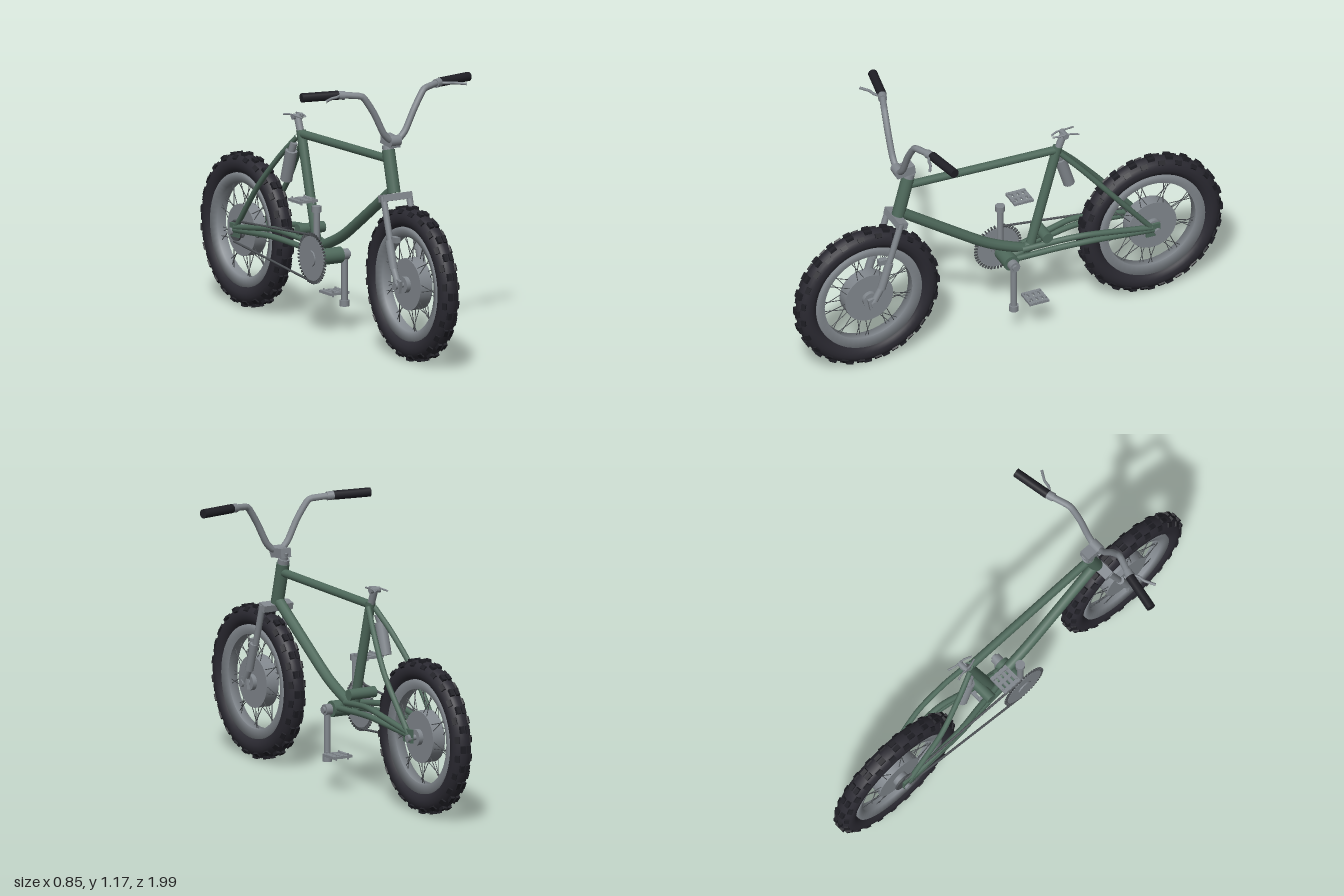
import * as THREE from 'three';
import { mergeGeometries } from 'three/addons/utils/BufferGeometryUtils.js';

const V = (x, y, z) => new THREE.Vector3(x, y, z);
const mat = (name, color) => new THREE.MeshStandardMaterial({ name, color });

export function createModel() {
  const bike = new THREE.Group();
  bike.name = 'bicycle';
  const green = mat('frame green', 0x4f6a5c);
  const grey = mat('metal grey', 0x82888e);
  const rubber = mat('tyre rubber', 0x2b2a32);
  const black = mat('tread black', 0x1f1f25);
  const dark = mat('chain steel', 0x4c5054);

  const add = (name, geo, m, parent = bike) => {
    const mesh = new THREE.Mesh(geo, m);
    mesh.name = name;
    parent.add(mesh);
    return mesh;
  };
  // Capped straight rod between two points
  const rodGeo = (a, b, r, r2 = r, seg = 14) => {
    const d = b.clone().sub(a);
    const g = new THREE.CylinderGeometry(r2, r, d.length(), seg);
    g.applyQuaternion(new THREE.Quaternion().setFromUnitVectors(V(0, 1, 0), d.normalize()));
    const c = a.clone().add(b).multiplyScalar(0.5);
    return g.translate(c.x, c.y, c.z);
  };
  const rod = (name, a, b, r, m, r2) => add(name, rodGeo(a, b, r, r2), m);
  // Bent tube through points
  const tube = (name, pts, r, m, seg = 28) => add(name, new THREE.TubeGeometry(
    new THREE.CatmullRomCurve3(pts, false, 'catmullrom', 0.35), seg, r, 10), m);
  const box = (name, w, h, d, x, y, z, m, rx = 0) => {
    const mesh = add(name, new THREE.BoxGeometry(w, h, d), m);
    mesh.position.set(x, y, z);
    mesh.rotation.x = rx;
    return mesh;
  };
  // Disc with its axis along x
  const disc = (r, w, x, y, z, seg = 36) =>
    new THREE.CylinderGeometry(r, r, w, seg).rotateZ(Math.PI / 2).translate(x, y, z);

  const AXLE = 0.337, WZ = 0.663, BB = V(0, 0.34, 0.005);

  // Wheels: tyre, knobs, rim, hub drum, spokes
  const wheel = (name, z) => {
    const g = new THREE.Group();
    g.name = name;
    g.position.set(0, AXLE, z);
    bike.add(g);
    add('tyre', new THREE.TorusGeometry(0.283, 0.044, 14, 56).rotateY(Math.PI / 2), rubber, g);
    const knobs = [], N = 24;
    for (let i = 0; i < N; i++) {
      const a = (i / N) * Math.PI * 2, b = a + Math.PI / N;
      for (const s of [-1, 1]) {
        knobs.push(new THREE.BoxGeometry(0.018, 0.018, 0.032)
          .translate(s * 0.013, 0.325, 0).rotateX(a));
        knobs.push(new THREE.BoxGeometry(0.02, 0.016, 0.03)
          .translate(0, 0.041, 0).rotateZ(-s * 0.85).translate(0, 0.283, 0).rotateX(b));
      }
    }
    add('treadKnobs', mergeGeometries(knobs), black, g);
    const rim = [[0.205, -0.022], [0.245, -0.034], [0.25, 0], [0.245, 0.034], [0.205, 0.022], [0.205, -0.022]]
      .map(p => new THREE.Vector2(p[0], p[1]));
    add('rim', new THREE.LatheGeometry(rim, 56).rotateZ(Math.PI / 2),
      rimMat, g);
    add('hubDrum', disc(0.112, 0.06, 0, 0, 0), grey, g);
    add('hubBoss', disc(0.035, 0.1, 0, 0, 0, 20), grey, g);
    add('axle', disc(0.012, 0.18, 0, 0, 0, 12), grey, g);
    const spokes = [];
    for (let i = 0; i < 36; i++) {
      const a = (i / 36) * Math.PI * 2, t = a + (i % 4 < 2 ? 0.22 : -0.22);
      const s = i % 2 ? 1 : -1;
      spokes.push(rodGeo(V(s * 0.026, Math.cos(a) * 0.1, Math.sin(a) * 0.1),
        V(s * 0.006, Math.cos(t) * 0.21, Math.sin(t) * 0.21), 0.0018, 0.0018, 5));
    }
    add('spokes', mergeGeometries(spokes), dark, g);
  };
  const rimMat = mat('rim grey', 0x82888e);
  rimMat.side = THREE.DoubleSide;
  wheel('frontWheel', WZ);
  wheel('rearWheel', -WZ);

  // Main frame
  rod('headTube', V(0, 0.705, 0.515), V(0, 0.885, 0.468), 0.028, green);
  rod('topTube', V(0, 0.845, 0.475), V(0, 0.83, -0.235), 0.018, green);
  tube('downTube', [V(0, 0.72, 0.51), V(0, 0.475, 0.15), V(0, 0.415, 0.04), V(0, 0.37, -0.07)], 0.023, green);
  rod('seatTube', V(0, 0.365, -0.1), V(0, 0.845, -0.232), 0.021, green);
  add('bottomBracket', disc(0.035, 0.1, 0, BB.y, BB.z, 20), green);
  rod('lowerFrameTube', V(0, 0.34, 0.005), V(0, 0.375, -0.11), 0.025, green);
  add('crossTube', disc(0.024, 0.13, 0, 0.432, -0.157, 18), green);
  for (const s of [-1, 1]) {
    tube('seatStay', [V(s * 0.015, 0.82, -0.235), V(s * 0.045, 0.72, -0.33),
      V(s * 0.073, 0.57, -0.46), V(s * 0.072, 0.35, -0.645)], 0.012, green);
    tube('lowerChainStay', [V(s * 0.03, 0.345, 0), V(s * 0.05, 0.36, -0.2),
      V(s * 0.07, 0.368, -0.36), V(s * 0.072, 0.345, -0.65)], 0.013, green);
    tube('upperChainStay', [V(s * 0.02, 0.375, -0.06), V(s * 0.048, 0.395, -0.22),
      V(s * 0.07, 0.402, -0.35), V(s * 0.073, 0.358, -0.64)], 0.013, green);
    box('rearDropout', 0.012, 0.058, 0.065, s * 0.073, 0.345, -0.645, green);
    add('axleNut', disc(0.016, 0.018, s * 0.082, AXLE, -WZ, 8), grey);
  }

  // Seat post, clamp and bare saddle rails
  rod('seatPost', V(0, 0.82, -0.228), V(0, 0.905, -0.262), 0.016, grey);
  add('seatClamp', disc(0.013, 0.05, 0, 0.9, -0.262, 12), grey);
  for (const s of [-1, 1])
    tube('saddleRail', [V(s * 0.008, 0.902, -0.205), V(s * 0.02, 0.907, -0.24),
      V(s * 0.022, 0.907, -0.285), V(s * 0.032, 0.902, -0.32)], 0.004, grey);

  // Canister behind the seat tube
  rod('canister', V(-0.032, 0.62, -0.3), V(-0.032, 0.755, -0.258), 0.026, grey);
  rod('canisterNeck', V(-0.032, 0.75, -0.26), V(-0.025, 0.79, -0.247), 0.016, grey);

  // Fork
  const lean = -0.26;
  box('forkCrown', 0.145, 0.03, 0.045, 0, 0.69, 0.525, grey, lean);
  for (const s of [-1, 1]) {
    rod('forkLeg', V(s * 0.064, 0.7, 0.53), V(s * 0.064, 0.47, 0.6), 0.014, grey);
    rod('forkSlider', V(s * 0.071, 0.52, 0.588), V(s * 0.071, 0.4, 0.625), 0.018, grey);
    rod('forkTip', V(s * 0.072, 0.415, 0.62), V(s * 0.072, 0.335, 0.665), 0.015, grey);
    box('forkDropout', 0.014, 0.055, 0.055, s * 0.074, AXLE, WZ - 0.005, grey, 0.2);
    box('forkBracket', 0.024, 0.024, 0.04, s * 0.054, 0.525, 0.612, grey);
    add('axleNut', disc(0.016, 0.016, s * 0.084, AXLE, WZ, 8), grey);
  }

  // Headset, stem and handlebar
  rod('headsetCup', V(0, 0.875, 0.47), V(0, 0.905, 0.462), 0.025, grey);
  rod('steerer', V(0, 0.9, 0.463), V(0, 0.935, 0.455), 0.017, grey);
  box('stem', 0.05, 0.04, 0.085, 0, 0.928, 0.487, grey, 0.12);
  add('barClamp', disc(0.024, 0.05, 0, 0.932, 0.515, 16), grey);
  const half = [[0.02, 0.937, 0.515], [0.055, 0.972, 0.516], [0.1, 1.06, 0.515], [0.15, 1.135, 0.508],
    [0.185, 1.145, 0.497], [0.27, 1.152, 0.468], [0.41, 1.152, 0.443]];
  const barPts = [...half.map(p => V(-p[0], p[1], p[2])).reverse(), ...half.map(p => V(...p))];
  tube('handlebar', barPts, 0.0145, grey, 64);
  for (const s of [-1, 1]) {
    rod('grip', V(s * 0.255, 1.151, 0.472), V(s * 0.42, 1.152, 0.441), 0.02, black);
    rod('leverMount', V(s * 0.228, 1.149, 0.482), V(s * 0.258, 1.151, 0.472), 0.019, grey);
    tube('brakeLever', [V(s * 0.25, 1.15, 0.48), V(s * 0.28, 1.149, 0.5),
      V(s * 0.31, 1.147, 0.505), V(s * 0.355, 1.142, 0.53)], 0.006, grey, 12);
  }

  // Cranks and pedals
  add('crankAxle', disc(0.014, 0.19, 0, BB.y, BB.z, 14), grey);
  for (const s of [-1, 1]) {
    const up = -s, x = s * 0.07, py = BB.y + up * 0.212;
    rod('crankArm', BB.clone().setX(x), V(x, py, BB.z), 0.014, grey);
    rod('crankEnd', V(x, py - 0.013, BB.z), V(x, py + 0.013, BB.z), 0.021, grey);
    add('crankBoss', disc(0.024, 0.03, x, BB.y, BB.z, 16), grey);
    const pedal = [], cx = s * 0.079, cy = up > 0 ? 0.575 : 0.158;
    for (let i = 0; i < 4; i++)
      pedal.push(new THREE.BoxGeometry(0.096, 0.01, 0.015).translate(cx, cy, -0.053 - i * 0.025));
    for (const k of [-1, 0, 1])
      pedal.push(new THREE.BoxGeometry(0.016, 0.012, 0.09).translate(cx + k * 0.038, cy, -0.09));
    for (const k of [-1, 1]) for (const z of [-0.053, -0.128])
      pedal.push(new THREE.CylinderGeometry(0.004, 0.004, 0.026, 6).translate(cx + k * 0.03, cy, z));
    add('pedal', mergeGeometries(pedal), grey);
  }

  // Chainring with teeth, rear sprocket
  const CX = -0.093;
  add('chainring', disc(0.096, 0.008, CX, BB.y, BB.z, 48), grey);
  add('chainringHub', disc(0.035, 0.02, CX, BB.y, BB.z, 20), grey);
  const teeth = [];
  for (let i = 0; i < 44; i++)
    teeth.push(new THREE.BoxGeometry(0.006, 0.016, 0.007).translate(0, 0.103, 0)
      .rotateX((i / 44) * Math.PI * 2).translate(CX, BB.y, BB.z));
  add('chainringTeeth', mergeGeometries(teeth), dark);
  add('rearSprocket', disc(0.045, 0.008, -0.058, AXLE, -WZ, 24), dark);

  // Chain runs
  for (const s of [-1, 1])
    rod('chainRun', V(CX, BB.y + s * 0.1, -0.01), V(-0.066, AXLE + s * 0.045, -WZ), 0.005, dark);

  return bike;
}
